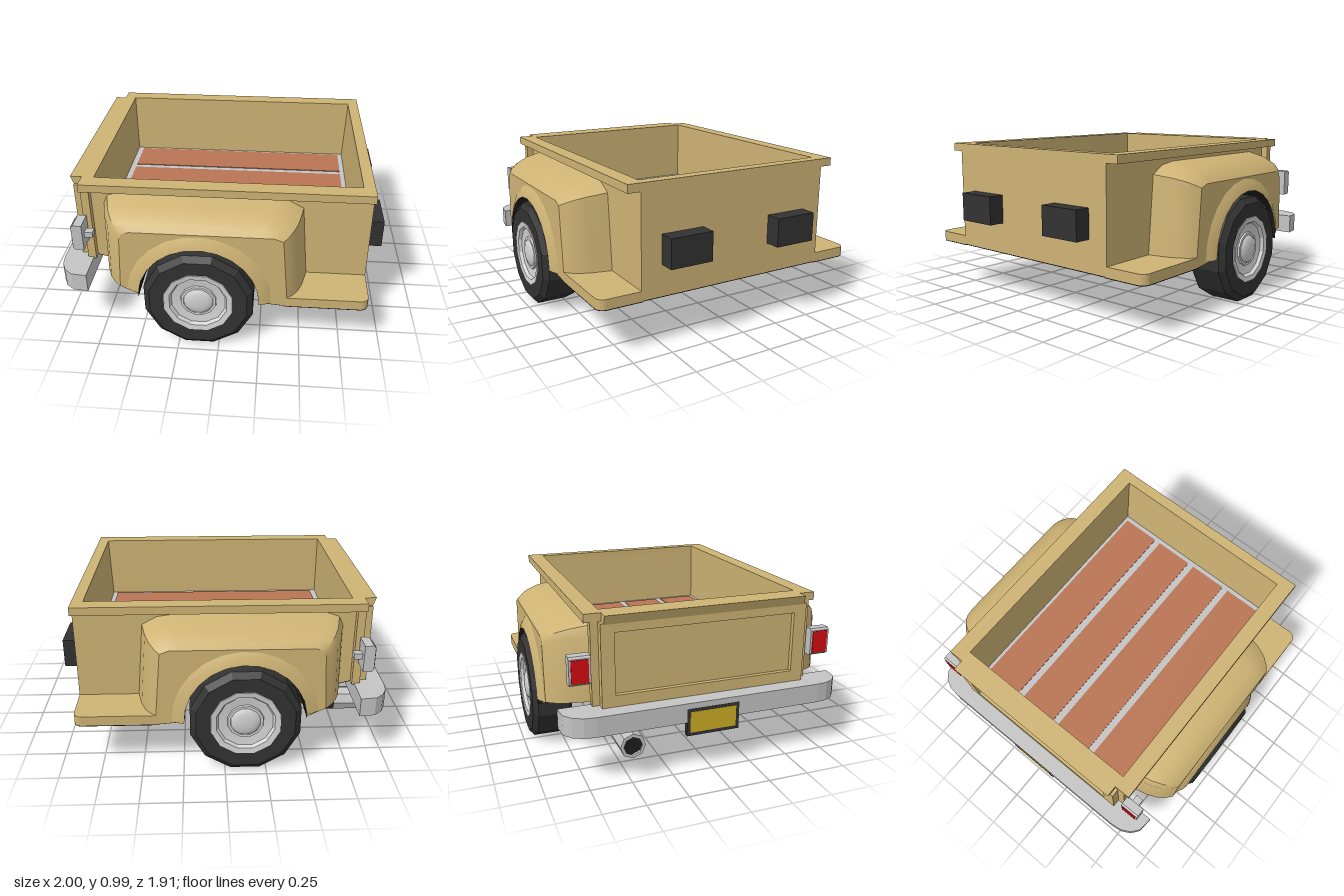
import * as THREE from 'three';
import { toCreasedNormals } from 'three/addons/utils/BufferGeometryUtils.js';

const material = (name, color, side = THREE.FrontSide) => {
  const m = new THREE.MeshStandardMaterial({ color, side });
  m.name = name;
  return m;
};

// Box from its limits on each axis
function box(x0, x1, y0, y1, z0, z1) {
  return new THREE.BoxGeometry(x1 - x0, y1 - y0, z1 - z0)
    .translate((x0 + x1) / 2, (y0 + y1) / 2, (z0 + z1) / 2);
}

const outline = (pts) => new THREE.Shape(pts.map(([x, y]) => new THREE.Vector2(x, y)));

// Side profile in x/y, extruded from z0 to z1
const slab = (pts, z0, z1) => new THREE.ExtrudeGeometry(outline(pts),
  { depth: z1 - z0, bevelEnabled: false }).translate(0, 0, z0);

// Plan outline in x/z, extruded from y0 to y1
const plan = (shape, y0, y1) => new THREE.ExtrudeGeometry(shape,
  { depth: y1 - y0, bevelEnabled: false, curveSegments: 5 }).rotateX(Math.PI / 2).translate(0, y1, 0);

// Skin over open cross-sections, each { z, pts }
function loft(sections) {
  const pos = [], index = [], n = sections[0].pts.length;
  sections.forEach(({ z, pts }) => pts.forEach(([x, y]) => pos.push(x, y, z)));
  for (let s = 0; s < sections.length - 1; s++) {
    for (let i = 0; i < n - 1; i++) {
      const a = s * n + i, b = a + 1, d = a + n, c = d + 1;
      index.push(a, d, c, a, c, b);
    }
  }
  const g = new THREE.BufferGeometry();
  g.setAttribute('position', new THREE.Float32BufferAttribute(pos, 3));
  g.setIndex(index);
  g.computeVertexNormals();
  return toCreasedNormals(g, 0.55);
}

// Lathe about the wheel axis, points are [radius, z]
const turn = (pts, segments, start, length) => new THREE.LatheGeometry(
  pts.map(([r, z]) => new THREE.Vector2(r, z)), segments, start, length).rotateX(Math.PI / 2);

// Mirror across z, keeping faces outward
function mirrorZ(geometry) {
  const g = geometry.clone().scale(1, 1, -1);
  const src = g.index ? Array.from(g.index.array) : Array.from({ length: g.attributes.position.count }, (_, i) => i);
  for (let i = 0; i < src.length; i += 3) [src[i + 1], src[i + 2]] = [src[i + 2], src[i + 1]];
  g.setIndex(src);
  return g;
}

export function createModel() {
  const paint = material('tan paint', 0xceb374);
  const wood = material('wood planks', 0xb97453);
  const steel = material('steel', 0xc4c4c4, THREE.DoubleSide);
  const chrome = material('wheel metal', 0xd2d2d2);
  const rubber = material('rubber', 0x323232);
  const under = material('underbody black', 0x1e1e1e, THREE.DoubleSide);
  const red = material('lamp red', 0xd80c10);
  const yellow = material('plate yellow', 0xcdac24);

  const model = new THREE.Group();
  model.name = 'pickupBed';
  const add = (name, geometry, mat) => {
    const mesh = new THREE.Mesh(geometry, mat);
    mesh.name = name;
    model.add(mesh);
  };
  const pair = (name, geometry, mat) => {
    add(name + 'Left', geometry, mat);
    add(name + 'Right', mirrorZ(geometry), mat);
  };

  // Underbody, with the sill line rising to the rear
  const sill = [[-0.84, 0.44], [-0.72, 0.41], [-0.47, 0.375], [0.24, 0.32], [0.45, 0.302], [0.898, 0.302]];
  const floorY = 0.565;
  add('underbody', slab([...sill, [0.898, 0.32], [0.84, floorY - 0.02], [-0.84, floorY - 0.02]], -0.639, 0.639), under);

  // Bed walls and rails
  const wallFoot = sill.map(([x, y]) => [x, y + 0.006]);
  pair('sideWall', slab([...wallFoot, [0.898, 0.94], [-0.84, 0.94]], 0.62, 0.641), paint);
  add('frontWall', slab([[0.83, 0.94], [0.815, 0.5], [0.86, 0.308], [0.9, 0.308], [0.9, 0.94]], -0.641, 0.641), paint);
  add('frontRail', box(0.83, 0.9, 0.935, 0.985, -0.62, 0.62), paint);
  pair('sideRail', box(-0.85, 0.9, 0.935, 0.985, 0.62, 0.72), paint);
  pair('rearPost', box(-0.85, -0.8, 0.43, 0.936, 0.62, 0.685), paint);
  pair('latchPost', box(-0.9, -0.84, 0.44, 0.936, 0.62, 0.64), paint);

  // Floor with four planks
  add('floor', box(-0.78, 0.82, floorY - 0.02, floorY, -0.62, 0.62), steel);
  for (let i = 0; i < 4; i++) {
    const z = -0.465 + i * 0.309;
    add('plank' + (i + 1), box(-0.735, 0.785, floorY - 0.001, floorY + 0.005, z - 0.132, z + 0.132), wood);
  }

  // Tailgate: panel, raised frame and flared top
  add('tailgatePanel', box(-0.872, -0.775, 0.44, 0.94, -0.62, 0.62), paint);
  const frame = outline([[-0.62, 0.44], [0.62, 0.44], [0.62, 0.94], [-0.62, 0.94]]);
  frame.holes.push(outline([[-0.56, 0.51], [-0.56, 0.88], [0.56, 0.88], [0.56, 0.51]]));
  add('tailgateFrame', new THREE.ExtrudeGeometry(frame, { depth: 0.03, bevelEnabled: false })
    .rotateY(-Math.PI / 2).translate(-0.87, 0, 0), paint);
  add('tailgateTop', slab([[-0.9, 0.93], [-0.775, 0.93], [-0.775, 0.985], [-0.92, 0.985]], -0.62, 0.62), paint);

  // Fenders, narrowing outward
  const inner = [[-0.73, 0.415], [-0.725, 0.82], [-0.7, 0.875], [-0.62, 0.905], [0.3, 0.905], [0.4, 0.89], [0.49, 0.84], [0.53, 0.36]];
  const outer = [[-0.6, 0.395], [-0.58, 0.74], [-0.565, 0.775], [-0.52, 0.79], [0.27, 0.79], [0.32, 0.79], [0.375, 0.77], [0.41, 0.36]];
  const blend = (t) => inner.map(([x, y], i) => [x + (outer[i][0] - x) * t, y + (outer[i][1] - y) * t]);
  const steps = [[0.638, 0], [0.76, 0.22], [0.83, 0.45], [0.875, 0.72], [0.905, 1]];
  pair('fender', loft(steps.map(([z, t]) => ({ z, pts: blend(t) }))), paint);

  // Fender outer face with the wheel arch cut out
  const cx = -0.122, cy = 0.34, arch = 0.365;
  const face = outline([...outer, [0.41, 0.304], [0.24, 0.318]]);
  face.absarc(cx, cy, arch, 0, Math.PI, false);
  pair('fenderFace', new THREE.ShapeGeometry(face, 12).translate(0, 0, 0.905), paint);
  pair('archFlare', toCreasedNormals(turn([[0.44, 0.904], [0.4, 0.926], [arch, 0.936]], 12, Math.PI / 2 - 0.04, Math.PI - 0.05), 0.7)
    .translate(cx, cy, 0), paint);
  pair('wheelWell', turn([[arch, 0.936], [arch, 0.645], [0, 0.645]], 12, Math.PI / 2, Math.PI)
    .translate(cx, cy, 0), under);

  // Closing strips ahead of and behind the wheel
  pair('fenderUndersideRear', loft([
    { z: 0.63, pts: [[-0.48, 0.376], [-0.73, 0.416]] },
    { z: 0.905, pts: [[-0.48, 0.376], [-0.6, 0.396]] },
  ]), under);
  pair('fenderUndersideFront', loft([0.63, 0.905].map((z) => ({ z, pts: [[0.42, 0.302], [0.24, 0.318]] }))), under);

  // Running boards with a rounded front corner
  const board = new THREE.Shape();
  board.moveTo(0.4, 0.63);
  board.lineTo(0.9, 0.63);
  board.lineTo(0.9, 0.855);
  board.absarc(0.85, 0.855, 0.05, 0, Math.PI / 2, false);
  board.lineTo(0.4, 0.905);
  pair('runningBoard', plan(board, 0.304, 0.365), paint);
  pair('boardUnderside', plan(board, 0.299, 0.304), under);

  // Wheels
  const wheelY = cy - 0.01;
  const tire = turn([[0, 0.712], [0.325, 0.712], [0.342, 0.73], [0.342, 0.925], [0.305, 0.955],
    [0.215, 0.952], [0.2, 0.91], [0, 0.905]], 12, Math.PI / 12, Math.PI * 2);
  const rim = turn([[0.218, 0.945], [0.214, 0.957], [0.18, 0.952], [0.168, 0.932], [0.112, 0.925],
    [0.108, 0.936], [0.092, 0.936], [0.088, 0.925]], 12, Math.PI / 12, Math.PI * 2);
  const cap = turn([[0.093, 0.928], [0.085, 0.94], [0.06, 0.95], [0.03, 0.954], [0, 0.955]], 16, 0, Math.PI * 2);
  pair('tire', toCreasedNormals(tire, 0.2).translate(cx, wheelY, 0), rubber);
  pair('rim', toCreasedNormals(rim, 0.2).translate(cx, wheelY, 0), chrome);
  pair('hubCap', cap.translate(cx, wheelY, 0), chrome);

  // Deep rear bumper with swept ends
  const half = [[-0.815, 0.88], [-0.91, 0.87], [-0.96, 0.83], [-0.99, 0.77], [-0.999, 0.7]];
  const bar = [...half, ...half.slice().reverse().map(([x, z]) => [x, -z])];
  add('bumper', plan(outline(bar), 0.32, 0.44), steel);

  // Number plate
  add('plateFrame', box(-1.0, -0.965, 0.235, 0.405, -0.165, 0.165), rubber);
  add('plateFace', box(-1.001, -0.997, 0.255, 0.385, -0.145, 0.145), yellow);

  // Tail lamps on short arms, housings chamfered toward the lens
  const lamp = outline([[-0.825, 0.59], [-0.825, 0.76], [-0.878, 0.76], [-0.89, 0.748], [-0.89, 0.602], [-0.878, 0.59]]);
  pair('lampHousing', new THREE.ExtrudeGeometry(lamp, { depth: 0.125, bevelEnabled: false }).translate(0, 0, 0.695), steel);
  pair('lampLens', box(-0.895, -0.889, 0.606, 0.744, 0.708, 0.808), red);
  pair('lampArm', box(-0.83, -0.775, 0.655, 0.69, 0.73, 0.78), steel);

  // Exhaust pipe with a bright open tip
  const path = new THREE.CatmullRomCurve3([[-0.74, 0.225], [-0.68, 0.225], [-0.62, 0.23], [-0.46, 0.305], [-0.3, 0.4]]
    .map(([x, y]) => new THREE.Vector3(x, y, -0.49)));
  add('exhaustPipe', toCreasedNormals(new THREE.TubeGeometry(path, 8, 0.075, 8), 0.5), rubber);
  add('exhaustTip', toCreasedNormals(new THREE.CylinderGeometry(0.076, 0.076, 0.26, 8, 1, true), 0.5)
    .rotateZ(Math.PI / 2).translate(-0.86, 0.225, -0.49), steel);
  add('exhaustRim', new THREE.RingGeometry(0.055, 0.076, 8).rotateY(-Math.PI / 2).translate(-0.99, 0.225, -0.49), steel);
  add('exhaustBore', new THREE.CircleGeometry(0.074, 8).rotateY(-Math.PI / 2).translate(-0.95, 0.225, -0.49), under);

  // Front mounting blocks
  pair('frontBlock', box(0.89, 1.0, 0.5, 0.68, 0.235, 0.51), rubber);

  return model;
}
